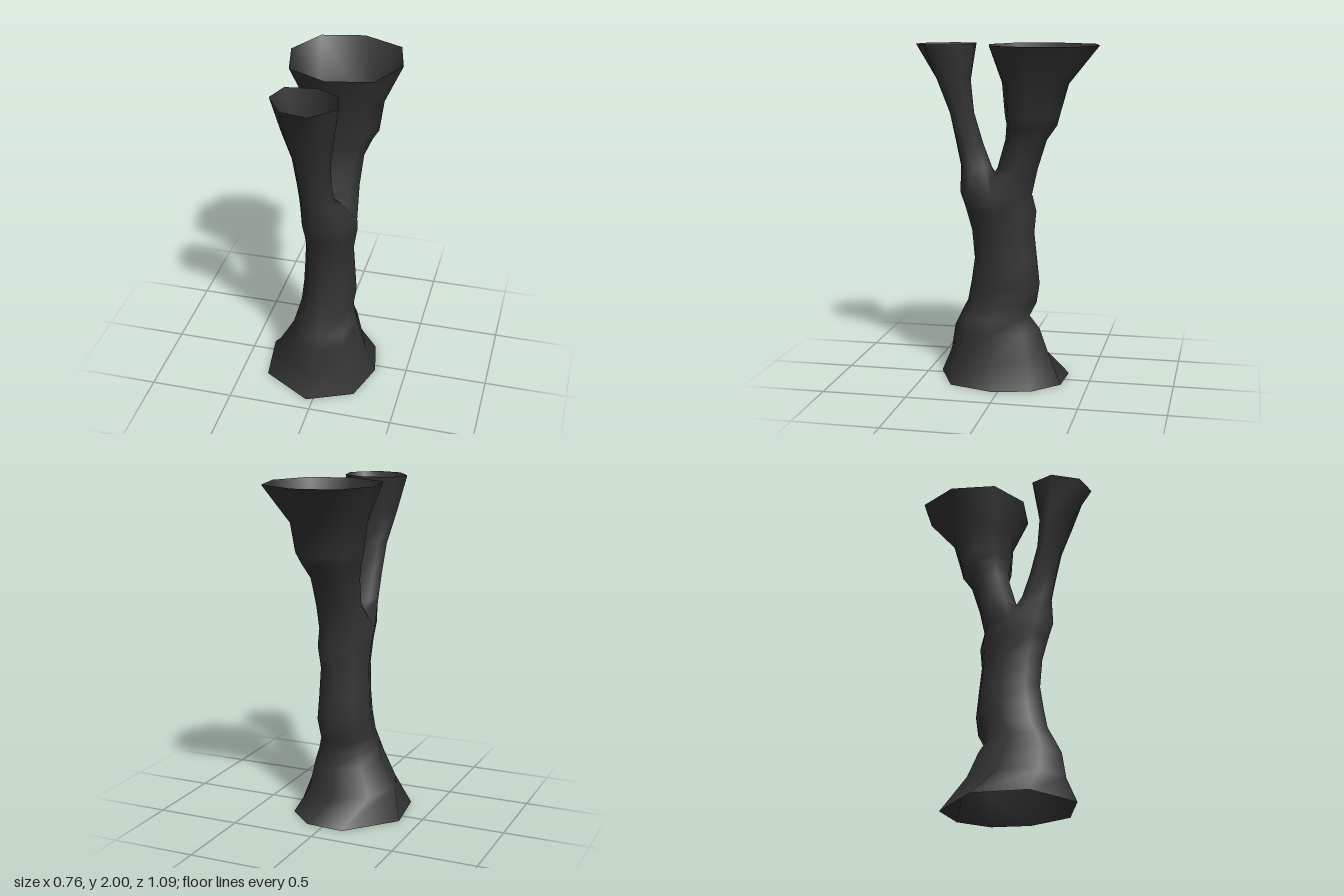
import * as THREE from 'three';

const SIDES = 8;

// Eight-sided ring fitted to bounds; starts at +x and turns towards +z.
function ring([y, x0, x1, z0, z1], start = 0) {
  return Array.from({ length: SIDES }, (_, k) => {
    const a = ((k + start) / SIDES) * Math.PI * 2;
    return [
      (x0 + x1) / 2 + (Math.cos(a) * (x1 - x0)) / 2,
      y,
      (z0 + z1) / 2 + (Math.sin(a) * (z1 - z0)) / 2,
    ];
  });
}

// Irregular ring from x, z corners.
const outline = (y, corners) => corners.map(([x, z]) => [x, y, z]);

export function createModel() {
  const bark = new THREE.MeshStandardMaterial({ color: 0x333333, side: THREE.DoubleSide });
  bark.name = 'darkBark';

  const positions = [];
  const indices = [];
  const addPoints = (points) => points.map((p) => positions.push(...p) / 3 - 1);
  const bridge = (lower, upper) => {
    for (let k = 0; k < SIDES; k++) {
      const n = (k + 1) % SIDES;
      indices.push(lower[k], upper[k], lower[n], lower[n], upper[k], upper[n]);
    }
  };
  const loft = (first, rings) =>
    rings.reduce((lower, points) => {
      const upper = addPoints(points);
      bridge(lower, upper);
      return upper;
    }, first);

  // Hollow trunk, flared at the open foot
  const foot = addPoints(outline(0, [
    [0.31, 0.04], [0.23, 0.3], [-0.04, 0.42], [-0.335, 0.24],
    [-0.38, -0.08], [-0.13, -0.355], [0.1, -0.34], [0.26, -0.19],
  ]));
  const top = loft(foot, [
    [0.15, -0.3, 0.255, -0.245, 0.355],
    [0.31, -0.21, 0.215, -0.195, 0.325],
    [0.39, -0.185, 0.2, -0.135, 0.285],
    [0.47, -0.165, 0.16, -0.175, 0.245],
    [0.59, -0.155, 0.175, -0.195, 0.22],
    [0.73, -0.147, 0.165, -0.18, 0.2],
    [0.9, -0.135, 0.158, -0.162, 0.215],
    [1.03, -0.145, 0.18, -0.175, 0.25],
    [1.13, -0.155, 0.185, -0.148, 0.285],
  ].map((r) => ring(r)));

  // Saddle shared by both branches
  const [s1, s2, s3] = addPoints([[0.11, 1.22, 0.08], [0.01, 1.25, 0.08], [-0.09, 1.22, 0.08]]);

  // Slender front branch with an open rim
  loft([...top.slice(0, 5), s3, s2, s1], [
    ...[
      [1.28, -0.125, 0.085, 0.1, 0.288],
      [1.42, -0.128, 0.075, 0.155, 0.318],
      [1.6, -0.14, 0.08, 0.21, 0.358],
      [1.79, -0.185, 0.115, 0.23, 0.435],
    ].map((r) => ring(r)),
    outline(2, [
      [0.155, 0.415], [0.09, 0.48], [0.02, 0.545], [-0.135, 0.515],
      [-0.235, 0.365], [-0.19, 0.23], [-0.01, 0.205], [0.12, 0.265],
    ]),
  ]);

  // Wide back branch, opening like a funnel
  loft([...top.slice(4), top[0], s1, s2, s3], [
    ...[
      [1.28, -0.125, 0.167, -0.182, 0.058],
      [1.45, -0.137, 0.18, -0.235, 0.01],
      [1.54, -0.158, 0.22, -0.298, 0.002],
      [1.6, -0.175, 0.257, -0.315, 0.01],
      [1.78, -0.205, 0.28, -0.365, 0.027],
    ].map((r) => ring(r, 4)),
    outline(2, [
      [-0.29, -0.26], [-0.17, -0.49], [0.08, -0.545], [0.32, -0.435],
      [0.38, -0.18], [0.26, 0.055], [0, 0.11], [-0.23, 0],
    ]),
  ]);

  const geometry = new THREE.BufferGeometry();
  geometry.setAttribute('position', new THREE.Float32BufferAttribute(positions, 3));
  geometry.setIndex(indices);
  geometry.computeVertexNormals();

  const trunk = new THREE.Mesh(geometry, bark);
  trunk.name = 'forkedTrunk';
  const group = new THREE.Group();
  group.name = 'hollowTree';
  group.add(trunk);
  return group;
}
